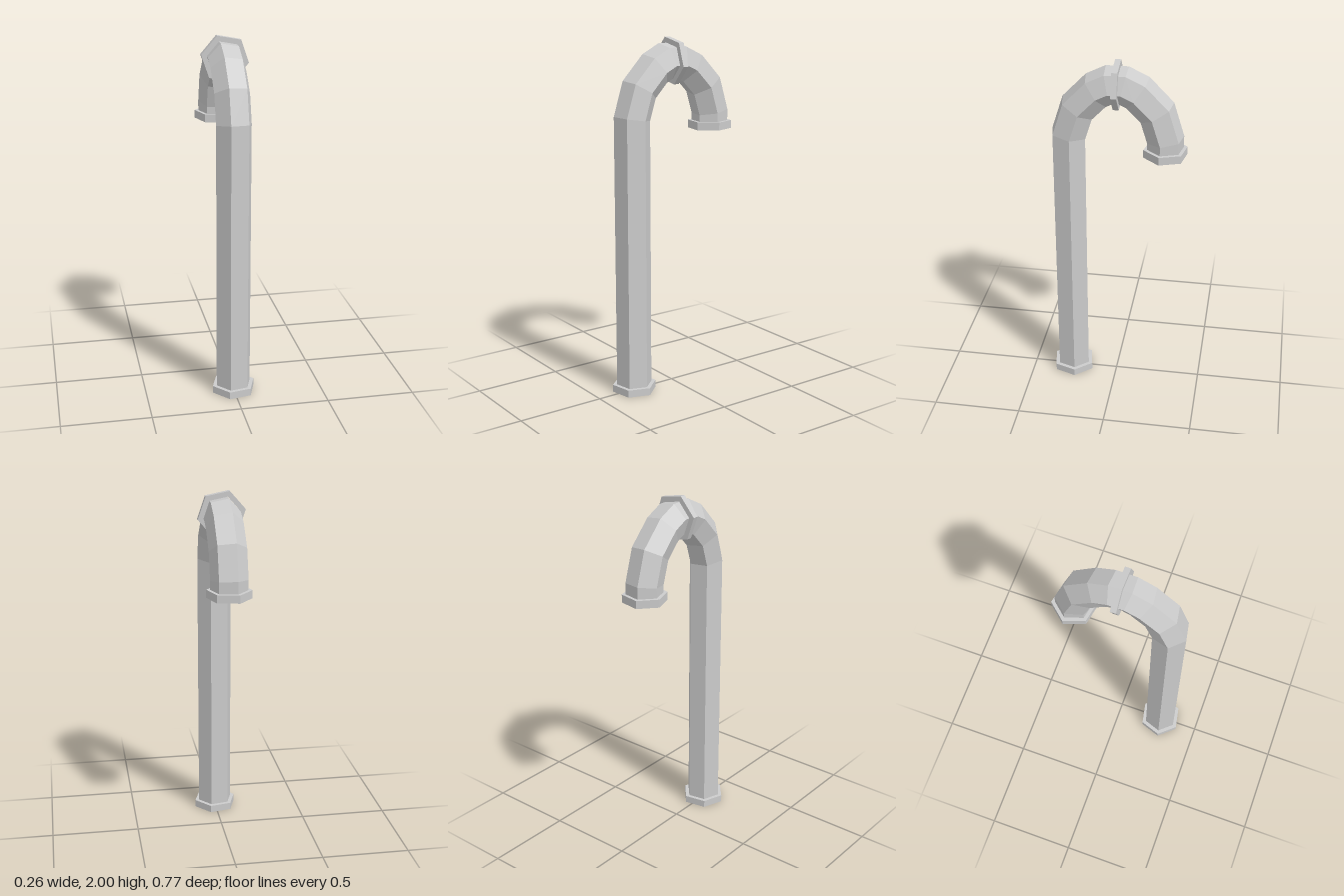
import * as THREE from 'three';

const SIDES = 6;
const PHASE = THREE.MathUtils.degToRad(49);
const PIPE_RADIUS = 0.102;
const material = new THREE.MeshStandardMaterial({ color: 0xcccccc, flatShading: true, side: THREE.DoubleSide });

// Hexagonal ring around (y, z); angle tilts it from upright post (0) over the arch to facing down (PI).
// stretch widens the outward axis for mitred bends.
function hexRing(y, z, angle, radius, stretch = 1) {
  return Array.from({ length: SIDES }, (_, i) => {
    const a = PHASE + (i / SIDES) * Math.PI * 2;
    const out = radius * Math.sin(a) * stretch;
    return new THREE.Vector3(radius * Math.cos(a), y + out * Math.sin(angle), z + out * Math.cos(angle));
  });
}

// Skin joining consecutive rings, open at both ends
function loft(rings) {
  const points = [];
  for (let r = 0; r < rings.length - 1; r++) {
    for (let i = 0; i < SIDES; i++) {
      const j = (i + 1) % SIDES;
      const a = rings[r][i], b = rings[r][j], c = rings[r + 1][i], d = rings[r + 1][j];
      points.push(a, c, b, b, c, d);
    }
  }
  const geometry = new THREE.BufferGeometry().setFromPoints(points);
  geometry.computeVertexNormals();
  return geometry;
}

function addPart(group, name, geometry) {
  const mesh = new THREE.Mesh(geometry, material);
  mesh.name = name;
  group.add(mesh);
}

// Open cup at a pipe end: outer wall from the rim, then a shoulder in to the pipe
function endCollar(rimY, shoulderY, z, angle, radius) {
  return loft([
    hexRing(rimY, z, angle, radius),
    hexRing(shoulderY, z, angle, radius),
    hexRing(shoulderY, z, angle, PIPE_RADIUS),
  ]);
}

// Flat band around the top of the arch, with both side faces
function crownCollar(y, frontZ, backZ, radius) {
  const angle = Math.PI / 2;
  return loft([
    hexRing(y, frontZ, angle, PIPE_RADIUS), hexRing(y, frontZ, angle, radius),
    hexRing(y, backZ, angle, radius), hexRing(y, backZ, angle, PIPE_RADIUS),
  ]);
}

export function createModel() {
  const group = new THREE.Group();
  group.name = 'hookedPipe';

  // Pipe centre line as [z, y]: post, arch and short drop at the back
  const path = [
    [0.264, 0.042], [0.264, 1.572],
    [0.215, 1.727], [0.112, 1.835], [0.04, 1.871],
    [-0.04, 1.871], [-0.115, 1.835], [-0.22, 1.727],
    [-0.268, 1.572], [-0.268, 1.52],
  ];

  // Heading of each segment, then mitred rings at the joints
  const headings = path.slice(1).map(([z, y], i) => Math.atan2(path[i][0] - z, y - path[i][1]));
  const rings = path.map(([z, y], i) => {
    const before = headings[Math.max(i - 1, 0)];
    const after = headings[Math.min(i, headings.length - 1)];
    return hexRing(y, z, (before + after) / 2, PIPE_RADIUS, 1 / Math.cos((after - before) / 2));
  });
  addPart(group, 'pipe', loft(rings));

  // Collars at the foot, the crown and the outlet
  addPart(group, 'footCollar', endCollar(0, 0.042, 0.264, 0, 0.126));
  addPart(group, 'crownCollar', crownCollar(1.873, 0.014, -0.018, 0.1345));
  addPart(group, 'outletCollar', endCollar(1.475, 1.52, -0.268, Math.PI, 0.123));

  return group;
}
